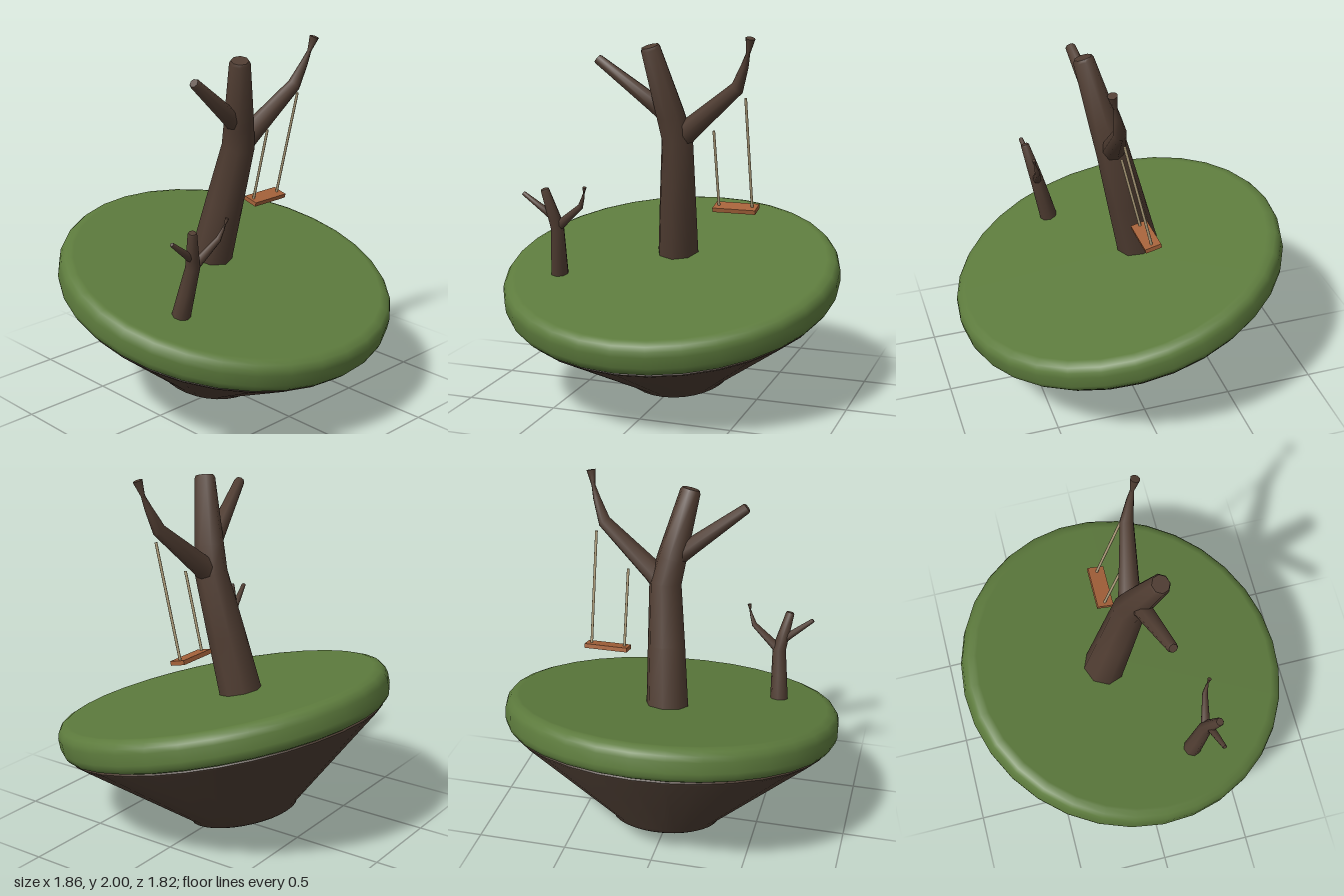
import * as THREE from 'three';
import { toCreasedNormals } from 'three/addons/utils/BufferGeometryUtils.js';

const mat = (name, color) => {
  const m = new THREE.MeshStandardMaterial({ color });
  m.name = name;
  return m;
};

function add(parent, name, geometry, material, x = 0, y = 0, z = 0) {
  const mesh = new THREE.Mesh(geometry, material);
  mesh.name = name;
  mesh.position.set(x, y, z);
  parent.add(mesh);
  return mesh;
}

const lathe = (pts, sides) =>
  new THREE.LatheGeometry(pts.map(([r, y]) => new THREE.Vector2(r, y)), sides);

// Capped tapering limb through rings [x, y, radius] lying in the xy plane
function limb(rings, sides = 8) {
  const pos = [], idx = [], last = rings.length - 1;
  rings.forEach(([x, y, r], i) => {
    const a = rings[Math.max(i - 1, 0)], b = rings[Math.min(i + 1, last)];
    const t = new THREE.Vector2(b[0] - a[0], b[1] - a[1]).normalize();
    for (let k = 0; k < sides; k++) {
      const ang = (k / sides) * Math.PI * 2, c = r * Math.cos(ang);
      pos.push(x + c * t.y, y - c * t.x, r * Math.sin(ang));
    }
  });
  const bottom = pos.length / 3, top = bottom + 1;
  pos.push(rings[0][0], rings[0][1], 0, rings[last][0], rings[last][1], 0);
  for (let k = 0; k < sides; k++) {
    const n = (k + 1) % sides;
    for (let i = 0; i < last; i++) {
      const a = i * sides + k, b = i * sides + n;
      idx.push(a, a + sides, b, a + sides, b + sides, b);
    }
    idx.push(bottom, k, n, top, last * sides + n, last * sides + k);
  }
  const g = new THREE.BufferGeometry();
  g.setAttribute('position', new THREE.Float32BufferAttribute(pos, 3));
  g.setIndex(idx);
  return toCreasedNormals(g, 0.9);
}

// Bare tree: bent trunk, short left limb, kinked right limb with a pinched tip
function makeTree(name, bark) {
  const tree = new THREE.Group();
  tree.name = name;
  add(tree, 'trunk', limb([
    [0, -0.01, 0.118], [0.025, 0.34, 0.104], [0.05, 0.68, 0.089],
    [0.022, 0.82, 0.081], [-0.057, 1.18, 0.056], [-0.06, 1.195, 0.048],
  ]), bark);
  add(tree, 'shortBranch', limb([
    [0.01, 0.81, 0.05], [-0.075, 0.885, 0.047], [-0.36, 1.115, 0.028], [-0.367, 1.121, 0.023],
  ]), bark);
  add(tree, 'longBranch', limb([
    [0.06, 0.67, 0.062], [0.12, 0.735, 0.06], [0.405, 0.98, 0.037],
    [0.452, 1.1, 0.021], [0.474, 1.17, 0.011], [0.491, 1.25, 0.026],
  ]), bark);
  return tree;
}

export function createModel() {
  const grass = mat('grass green', 0x5d7b3d);
  const soil = mat('soil brown', 0x4a3b31);
  const bark = mat('bark brown', 0x503d32);
  const wood = mat('seat wood', 0xa5623a);
  const rope = mat('rope tan', 0xb09f7c);

  const model = new THREE.Group();
  model.name = 'floatingIsland';
  const island = new THREE.Group();
  island.name = 'tiltedIsland';
  island.position.y = 0.66;
  island.rotation.x = 0.24;
  model.add(island);

  // Rounded grass disc
  add(island, 'grassTop', lathe([
    [0, -0.092], [0.86, -0.092], [0.875, -0.092], [0.905, -0.08], [0.922, -0.058], [0.93, -0.03],
    [0.93, 0.03], [0.922, 0.058], [0.905, 0.08], [0.875, 0.092], [0.86, 0.092], [0, 0.092],
  ], 32), grass);

  // Tapered soil underside
  add(island, 'soilBase', toCreasedNormals(lathe([
    [0, -0.609], [0.283, -0.609], [0.3, -0.6], [0.312, -0.58],
    [0.88, -0.108], [0.885, -0.098], [0.875, -0.085],
  ], 32), 0.7), soil);

  // Trees
  const big = makeTree('largeTree', bark);
  big.position.set(0, 0.085, -0.14);
  const small = makeTree('smallTree', bark);
  small.position.set(-0.562, 0.085, 0.237);
  small.scale.setScalar(0.425);
  island.add(big, small);

  // Swing
  const swing = new THREE.Group();
  swing.name = 'swing';
  swing.position.set(0.355, 0.378, -0.139);
  island.add(swing);
  add(swing, 'seat', new THREE.BoxGeometry(0.24, 0.024, 0.09), wood);
  for (const [x, length] of [[-0.095, 0.442], [0.092, 0.632]]) {
    add(swing, 'rope', new THREE.CylinderGeometry(0.0075, 0.0075, length, 8), rope, x, length / 2, 0);
  }
  return model;
}
